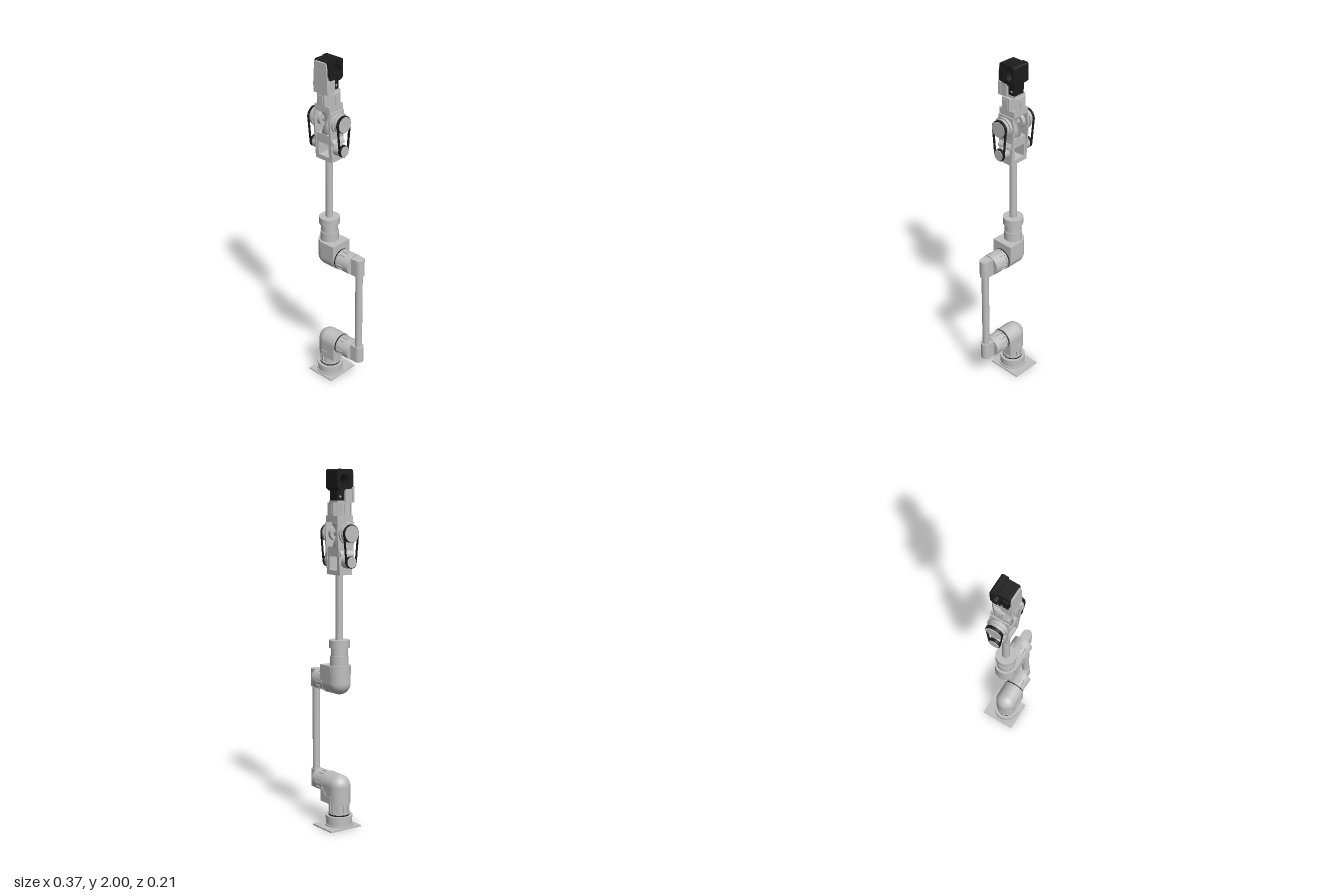
import * as THREE from 'three';

export function createModel() {
  const root = new THREE.Group();
  root.name = 'robotArm';
  const grey = new THREE.MeshStandardMaterial({ color: 0xbfbfbf });
  grey.name = 'light grey';
  const black = new THREE.MeshStandardMaterial({ color: 0x1c1c1c });
  black.name = 'black';

  const group = (parent, name, x, y, z) => {
    const g = new THREE.Group();
    g.name = name;
    g.position.set(x, y, z);
    parent.add(g);
    return g;
  };
  const add = (parent, name, geo, mat = grey, x = 0, y = 0, z = 0) => {
    const m = new THREE.Mesh(geo, mat);
    m.name = name;
    m.position.set(x, y, z);
    parent.add(m);
    return m;
  };
  const box = (p, name, w, h, d, x, y, z, mat) => add(p, name, new THREE.BoxGeometry(w, h, d), mat, x, y, z);
  // upright cylinder between two heights
  const cylY = (p, name, r, y0, y1, mat, r1 = r) =>
    add(p, name, new THREE.CylinderGeometry(r1, r, y1 - y0, 40), mat, 0, (y0 + y1) / 2, 0);
  // sideways cylinder between two x positions
  const cylX = (p, name, r, x0, x1, y = 0, mat = grey) =>
    add(p, name, new THREE.CylinderGeometry(r, r, Math.abs(x1 - x0), 40).rotateZ(Math.PI / 2), mat, (x0 + x1) / 2, y, 0);
  const poly = pts => new THREE.Shape(pts.map(([a, b]) => new THREE.Vector2(a, b)));
  // extrusion centred on its depth
  const slab = (shape, depth) =>
    new THREE.ExtrudeGeometry(shape, { depth, bevelEnabled: false, curveSegments: 20 }).translate(0, 0, -depth / 2);
  // shape drawn in (z, y), extruded along x
  const slabX = (shape, depth) => slab(shape, depth).rotateY(-Math.PI / 2);
  // outline around a large upper and a small lower circle
  const beltOutline = (Type, r1, y1, r2, y2) => {
    const a = Math.asin((r1 - r2) / (y1 - y2));
    const s = new Type();
    s.absarc(0, y1, r1, -a, Math.PI + a, false);
    s.absarc(0, y2, r2, Math.PI + a, 2 * Math.PI - a, false);
    s.closePath();
    return s;
  };

  // ribbed joint drum along +y, starting at 0
  function ribbedDrum(parent, name, length) {
    const g = group(parent, name, 0, 0, 0);
    cylY(g, 'darkSeal', 0.06, 0, 0.008, black);
    cylY(g, 'drumCore', 0.054, 0.008, length);
    cylY(g, 'drumCollar', 0.061, 0.008, 0.018);
    for (let i = 0; i < 14; i++) {
      const rib = group(g, 'ribPivot', 0, 0, 0);
      rib.rotation.y = (i / 14) * Math.PI * 2;
      box(rib, 'rib', 0.012, length - 0.018, 0.016, 0.053, (length + 0.018) / 2, 0);
    }
    return g;
  }

  // elbow housing: one leg down, one leg towards +x, plus shoulder drum and link end
  function elbow(name, y, leg) {
    const g = group(root, name, -0.07, y, 0.015);
    cylY(g, 'verticalLeg', 0.064, -leg, 0);
    add(g, 'roundedCorner', new THREE.SphereGeometry(0.064, 40, 24));
    cylX(g, 'horizontalLeg', 0.064, 0, 0.088);
    box(g, 'squareCorner', 0.088, leg, 0.128, 0.044, -leg / 2, 0);
    add(g, 'chamferedPanel', slab(poly([[-0.01, -leg], [0.09, -leg], [0.09, -0.012], [0.08, -0.012],
      [0.036, -0.058], [-0.01, -0.058]]), 0.135));
    cylX(g, 'sideFlange', 0.066, 0.078, 0.09);
    const drum = ribbedDrum(g, 'sideDrum', 0.06);
    drum.position.x = 0.09;
    drum.rotation.z = -Math.PI / 2;
    cylX(g, 'drumCap', 0.06, 0.148, 0.19);
    // link end with a rounded outer side
    const s = new THREE.Shape();
    s.moveTo(0.18, -0.029);
    s.lineTo(0.228, -0.029);
    s.absarc(0.228, 0, 0.029, -Math.PI / 2, Math.PI / 2, false);
    s.lineTo(0.18, 0.029);
    s.closePath();
    add(g, 'linkEnd', slab(s, 0.104).rotateX(Math.PI / 2));
    return g;
  }

  // base
  box(root, 'basePlate', 0.18, 0.008, 0.208, -0.07, 0.004, 0);
  const base = group(root, 'base', -0.07, 0, 0.015);
  cylY(base, 'baseFlange', 0.081, 0.008, 0.016);
  cylY(base, 'baseDrum', 0.074, 0.016, 0.052);
  cylY(base, 'baseLip', 0.077, 0.052, 0.066);
  ribbedDrum(base, 'turntable', 0.075).position.y = 0.066;

  // lower and upper elbows joined by the side link
  elbow('lowerElbow', 0.233, 0.098);
  elbow('upperElbow', 0.825, 0.1).rotation.x = Math.PI;
  const link = group(root, 'sideLink', 0.156, 0, 0.015);
  cylY(link, 'linkTube', 0.021, 0.25, 0.81);

  // forearm
  const arm = group(root, 'forearm', -0.07, 0, 0.015);
  cylY(arm, 'forearmDrum', 0.052, 0.925, 0.98);
  cylY(arm, 'forearmNeck', 0.047, 0.98, 1.025);
  cylY(arm, 'forearmFlange', 0.058, 1.025, 1.068);
  cylY(arm, 'forearmTube', 0.021, 1.068, 1.44);

  // wrist frame with a window
  const wrist = group(root, 'wrist', -0.07, 0, 0.015);
  const frame = poly([[-0.053, 1.43], [0.053, 1.43], [0.053, 1.54], [-0.053, 1.54]]);
  frame.holes.push(poly([[-0.037, 1.455], [-0.037, 1.53], [0.037, 1.53], [0.037, 1.455]]));
  add(wrist, 'wristFrame', slab(frame, 0.084));
  add(wrist, 'wristSkirt', slab(poly([[-0.076, 1.53], [0.076, 1.53], [0.074, 1.545], [0.045, 1.582], [-0.045, 1.582], [-0.074, 1.545]]), 0.086));
  add(wrist, 'wristHub', new THREE.LatheGeometry([[0, 1.58], [0.04, 1.58], [0.022, 1.63], [0.022, 1.675], [0.042, 1.705], [0.042, 1.73], [0, 1.73]]
    .map(([r, y]) => new THREE.Vector2(r, y)), 32));
  cylX(wrist, 'wristAxle', 0.018, -0.06, 0.06, 1.655);

  // mirrored cheeks, pulleys and belts
  for (const s of [-1, 1]) {
    const side = group(wrist, s > 0 ? 'leftBeltDrive' : 'rightBeltDrive', 0, 0, 0);
    const cheek = poly([[-0.04, 1.43], [0.04, 1.43], [0.058, 1.66], [0.052, 1.715], [-0.052, 1.715], [-0.058, 1.66]]);
    add(side, 'cheekPlate', slabX(cheek, 0.01), grey, s * 0.055);
    cylX(side, 'innerBearing', 0.04, s * 0.03, s * 0.05, 1.655);
    cylX(side, 'upperHousing', 0.05, s * 0.058, s * 0.096, 1.655);
    cylX(side, 'housingFlange', 0.058, s * 0.072, s * 0.082, 1.655);
    cylX(side, 'lowerHousing', 0.034, s * 0.054, s * 0.096, 1.502);
    for (const [r, y] of [[0.044, 1.655], [0.029, 1.502]]) {
      cylX(side, 'pulley', r, s * 0.095, s * 0.116, y);
      cylX(side, 'pulleyRim', r + 0.003, s * 0.096, s * 0.113, y, black);
      cylX(side, 'pulleyFace', r + 0.0005, s * 0.112, s * 0.117, y);
    }
    const belt = beltOutline(THREE.Shape, 0.049, 1.655, 0.034, 1.502);
    belt.holes.push(beltOutline(THREE.Path, 0.044, 1.655, 0.029, 1.502));
    add(side, 'belt', slabX(belt, 0.012), black, s * 0.107);
  }

  // wrist head
  const head = group(root, 'wristHead', -0.07, 0, 0.015);
  box(head, 'headBase', 0.106, 0.035, 0.106, 0, 1.733, 0);
  const octagon = new THREE.CylinderGeometry(0.066, 0.066, 0.072, 8).rotateY(Math.PI / 8).toNonIndexed();
  octagon.computeVertexNormals();
  add(head, 'headBlock', octagon, grey, 0, 1.785, 0);
  for (const s of [-1, 1]) {
    box(head, 'headBoss', 0.03, 0.05, 0.01, 0, 1.785, s * 0.06);
    box(head, 'headBoss', 0.01, 0.05, 0.03, s * 0.06, 1.785, 0);
  }

  // gripper
  const grip = group(root, 'gripper', -0.07, 0, 0.015);
  box(grip, 'palm', 0.096, 0.075, 0.044, 0, 1.855, 0.026);
  const panel = poly([[-0.05, 1.82], [0.05, 1.82], [0.05, 1.87], [0.043, 1.975], [0.036, 1.993], [-0.036, 1.993], [-0.043, 1.975], [-0.05, 1.87]]);
  add(grip, 'frontPanel', slab(panel, 0.014), grey, 0, 0, 0.057);
  box(grip, 'fingerMount', 0.07, 0.06, 0.042, 0, 1.86, -0.018, black);
  cylX(grip, 'mountPin', 0.006, -0.037, 0.037, 1.853).position.z = -0.02;
  box(grip, 'mountFoot', 0.08, 0.012, 0.06, 0, 1.825, -0.012);
  // two jaws around a round grip opening
  const jaw = (zBack, zGap, dir) => {
    const s = new THREE.Shape();
    s.moveTo(zBack, 1.9);
    s.lineTo(zBack, 1.992);
    s.lineTo(zBack - dir * 0.008, 2);
    s.lineTo(zGap, 2);
    s.lineTo(zGap, 1.972);
    s.quadraticCurveTo(zGap + dir * 0.024, 1.965, zGap + dir * 0.024, 1.945);
    s.quadraticCurveTo(zGap + dir * 0.024, 1.922, zGap + dir * 0.004, 1.912);
    s.lineTo(zGap, 1.885);
    s.lineTo(zGap + dir * 0.02, 1.885);
    return s;
  };
  add(grip, 'frontJaw', slabX(jaw(0.056, -0.011, 1), 0.094), black);
  add(grip, 'rearJaw', slabX(jaw(-0.052, -0.014, -1), 0.11), black);
  for (const s of [-1, 1]) box(grip, 'jawCheek', 0.012, 0.07, 0.03, s * 0.05, 1.94, 0.035, black);

  return root;
}
